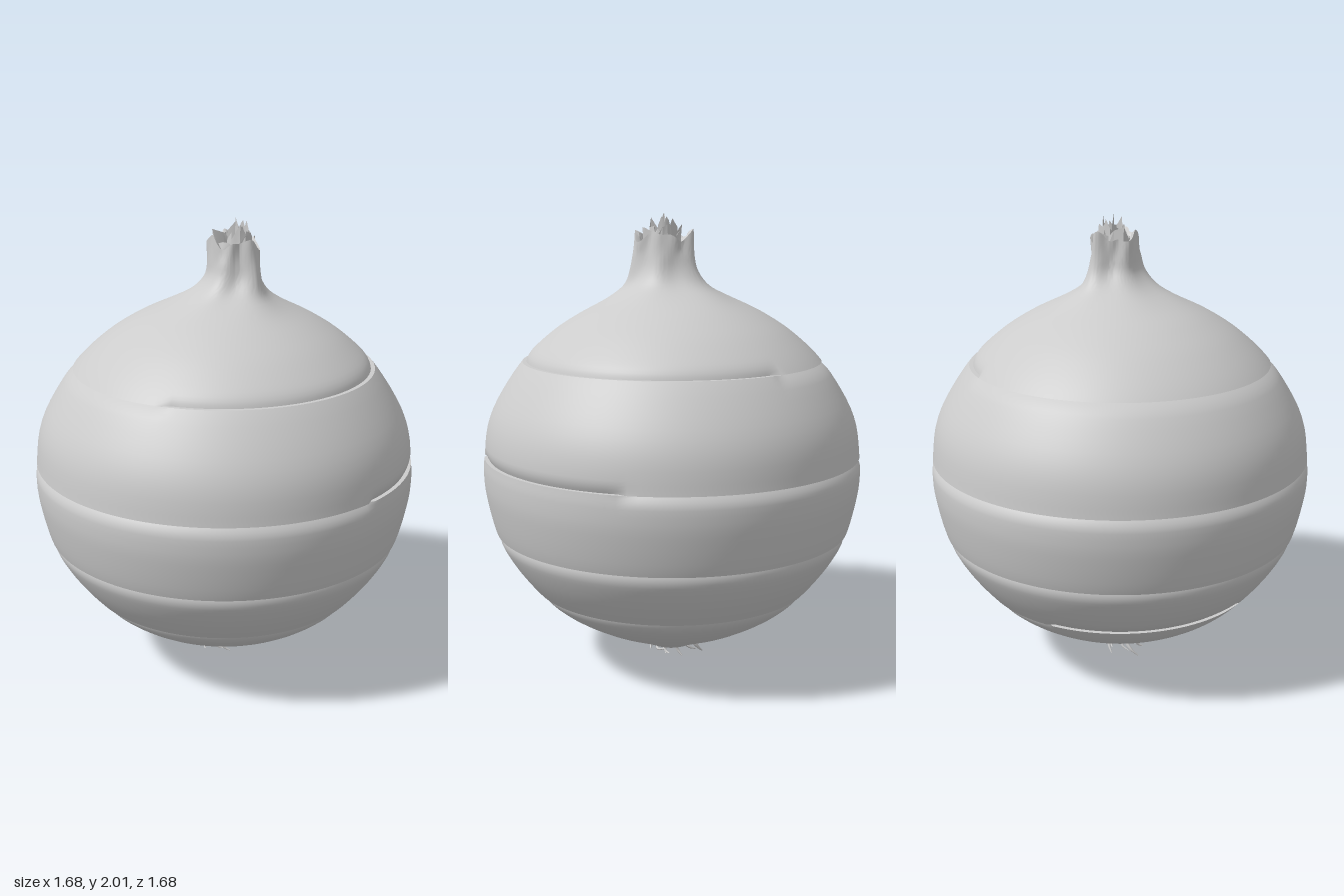
import * as THREE from 'three';
import { toCreasedNormals } from 'three/addons/utils/BufferGeometryUtils.js';

const material = new THREE.MeshStandardMaterial({ color: 0xcccccc, side: THREE.DoubleSide });
const SEGMENTS = 120;
const { smoothstep, degToRad } = THREE.MathUtils;

// Bulb outline as [radius, height], from root plate to neck
const outline = new THREE.SplineCurve([
  [0.11, 0.075], [0.165, 0.09], [0.2, 0.11], [0.27, 0.14], [0.4, 0.2], [0.53, 0.28], [0.625, 0.37],
  [0.725, 0.5], [0.79, 0.63], [0.83, 0.8], [0.838, 0.9], [0.833, 0.965], [0.815, 1.1], [0.765, 1.22],
  [0.657, 1.38], [0.53, 1.5], [0.4, 1.585], [0.25, 1.66], [0.17, 1.71], [0.127, 1.77], [0.112, 1.84], [0.107, 1.92],
].map(([r, y]) => new THREE.Vector2(r, y))).getPoints(400);

function radiusAt(y) {
  const i = Math.max(1, outline.findIndex((p) => p.y >= y));
  const a = outline[i - 1], b = outline[i];
  return a.x + (b.x - a.x) * THREE.MathUtils.clamp((y - a.y) / (b.y - a.y), 0, 1);
}

// Skin seams: between the two angles the upper layer tucks in, elsewhere the lower one does
const seams = [
  { y: 0.37, from: -180, to: -98 },
  { y: 0.63, from: 0, to: 0 },
  { y: 0.965, from: 20, to: 90 },
  { y: 1.38, from: -47, to: 144 },
];
const TUCK = 0.018, LIP = 0.055;

function tuckAt(y, angle, seam, isUpper) {
  if (!seam) return 0;
  const upperTucks = angle >= degToRad(seam.from) && angle < degToRad(seam.to);
  const t = Math.max(0, 1 - Math.abs(y - seam.y) / LIP);
  return upperTucks === isUpper ? TUCK * t * t : 0;
}

// Closed grid from rows of points; point(row, angle) returns a Vector3
function ringSurface(rows, segments, point, crease) {
  const positions = [], index = [];
  rows.forEach((row, j) => {
    for (let i = 0; i < segments; i++) {
      positions.push(...point(row, -Math.PI + (i / segments) * Math.PI * 2).toArray());
      if (j === 0) continue;
      const next = (i + 1) % segments;
      const a = (j - 1) * segments + i, b = (j - 1) * segments + next;
      const c = j * segments + next, d = j * segments + i;
      index.push(a, b, c, a, c, d);
    }
  });
  const geometry = new THREE.BufferGeometry();
  geometry.setAttribute('position', new THREE.Float32BufferAttribute(positions, 3));
  geometry.setIndex(index);
  return toCreasedNormals(geometry, crease);
}

// Layered bulb with a wrinkled, slightly off-centre neck
function bulbGeometry() {
  const rows = [{ y: 0.078, scale: 0.01 }];
  const levels = [0.075, ...seams.map((s) => s.y), 1.92];
  for (let b = 0; b < levels.length - 1; b++) {
    const y0 = levels[b], y1 = levels[b + 1];
    const below = seams[b - 1], above = seams[b];
    const lip = [0, 0.012, 0.025, 0.04, LIP];
    const heights = lip.map((d) => y0 + d);
    const steps = b === 4 ? 26 : 8;
    for (let i = 1; i < steps; i++) heights.push(y0 + LIP + ((y1 - y0 - 2 * LIP) * i) / steps);
    heights.push(...lip.map((d) => y1 - d).reverse());
    heights.forEach((y) => rows.push({ y, below, above, scale: 1 }));
  }
  // Rolled rim and hollow of the neck
  rows.push({ y: 1.91, scale: 0.85 }, { y: 1.87, scale: 0.7 }, { y: 1.85, scale: 0.01 });

  return ringSurface(rows, SEGMENTS, ({ y, below, above, scale }, a) => {
    const r = (radiusAt(y) - tuckAt(y, a, below, true) - tuckAt(y, a, above, false)) * scale;
    const neck = smoothstep(y, 1.6, 1.8), rim = smoothstep(y, 1.82, 1.92);
    const base = 1 - smoothstep(y, 0.08, 0.17);
    const fold = 0.09 * Math.sin(3 * a + 0.8 + 3 * y) + 0.07 * Math.sin(5 * a - 7 * y) + 0.05 * rim * Math.sin(9 * a + 1);
    const wave = 1 + neck * fold + base * 0.06 * Math.sin(4 * a + 1);
    const ragged = rim * (0.018 * Math.sin(4 * a + 2) + 0.012 * Math.sin(7 * a));
    return new THREE.Vector3(
      Math.sin(a) * r * wave * (1 - 0.1 * neck) + 0.035 * neck,
      y + ragged,
      Math.cos(a) * r * wave * (1 + 0.1 * neck) + 0.025 * neck,
    );
  }, 0.7);
}

// Dry, jagged sleeve inside the neck
function sleeveGeometry(radius, top, phase) {
  return ringSurface([0, 0.5, 1], 14, (t, a) => {
    const r = radius * (1 + 0.25 * Math.sin(3 * a + phase + t) + 0.12 * Math.sin(5 * a + phase));
    const tear = t * 0.022 * (Math.sin(2 * a + phase) + Math.sin(5 * a + 2 * phase) - 1);
    return new THREE.Vector3(Math.sin(a) * r, 1.84 + (top - 1.84) * t + tear, Math.cos(a) * r);
  }, 0.5);
}

// Tapered root along a curve
function rootGeometry(points, radius) {
  const curve = new THREE.CatmullRomCurve3(points);
  const geometry = new THREE.TubeGeometry(curve, 10, radius, 6);
  const position = geometry.attributes.position, v = new THREE.Vector3();
  for (let i = 0; i < position.count; i++) {
    const t = Math.floor(i / 7) / 10;
    const centre = curve.getPointAt(t);
    v.fromBufferAttribute(position, i).sub(centre).multiplyScalar(1 - 0.8 * t).add(centre);
    position.setXYZ(i, v.x, v.y, v.z);
  }
  geometry.computeVertexNormals();
  return geometry;
}

export function createModel() {
  const model = new THREE.Group();
  model.name = 'onion';
  const add = (name, geometry, parent = model) => {
    const mesh = new THREE.Mesh(geometry, material);
    mesh.name = name;
    parent.add(mesh);
    return mesh;
  };

  add('bulb', bulbGeometry());

  // Torn inner layers at the tip
  const tip = new THREE.Group();
  tip.name = 'driedTip';
  model.add(tip);
  [[0.075, 1.95, 0.4, 0.04, 0.025], [0.05, 1.975, 2.1, 0.06, 0.03], [0.025, 1.995, 4, 0.07, 0.02]].forEach(
    ([r, top, phase, x, z], i) => add(`innerLayer${i + 1}`, sleeveGeometry(r, top, phase), tip).position.set(x, 0, z));

  // Short curling roots under the base
  const roots = new THREE.Group();
  roots.name = 'roots';
  model.add(roots);
  for (let i = 0; i < 14; i++) {
    const a = i * 2.4, d = 0.025 + 0.08 * Math.sqrt(i / 14);
    const x = Math.sin(a) * d - 0.035, z = Math.cos(a) * d - 0.01;
    const out = 0.02 + 0.02 * Math.sin(i * 1.7), low = 0.008 + 0.012 * (i % 3);
    const at = (k, y, twist = 0) => new THREE.Vector3(x + Math.sin(a + twist) * k, y, z + Math.cos(a + twist) * k);
    add('root', rootGeometry([at(0, 0.095), at(out * 0.4, 0.062), at(out, 0.035, 0.5), at(out + 0.025, low, 0.9)], 0.014), roots);
  }
  // Long root lying along the base
  add('flatRoot', rootGeometry([[0, 0.08, 0.02], [0.06, 0.062, 0.05], [0.12, 0.06, 0.04], [0.16, 0.08, 0]]
    .map((p) => new THREE.Vector3(...p)), 0.014), roots);

  return model;
}
